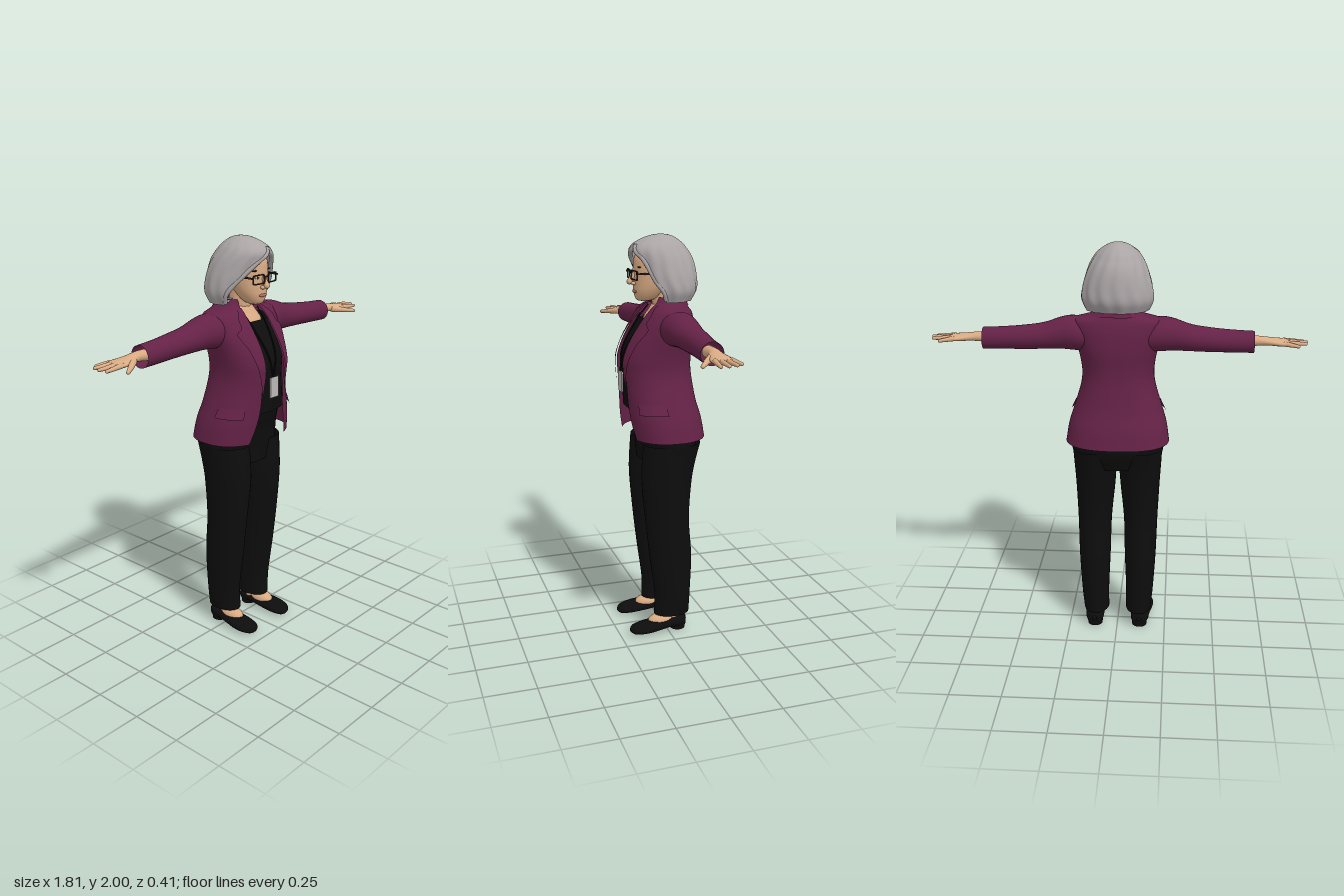
import * as THREE from 'three';
import { mergeVertices } from 'three/addons/utils/BufferGeometryUtils.js';

const V = (x, y, z) => new THREE.Vector3(x, y, z);
const paint = (name, color) => {
  const m = new THREE.MeshStandardMaterial({ color, side: THREE.DoubleSide });
  m.name = name;
  return m;
};

// Smooth interpolation of table rows keyed by their first column
function sample(rows, t) {
  const n = rows.length;
  let i = 0;
  while (i < n - 2 && t > rows[i + 1][0]) i++;
  const a = rows[i], b = rows[i + 1], p = rows[Math.max(i - 1, 0)], q = rows[Math.min(i + 2, n - 1)];
  const h = b[0] - a[0], s = Math.min(1, Math.max(0, (t - a[0]) / h));
  return a.map((_, k) => {
    const m0 = h * (b[k] - p[k]) / (b[0] - p[0]), m1 = h * (q[k] - a[k]) / (q[0] - a[0]);
    return (2 * s ** 3 - 3 * s * s + 1) * a[k] + (s ** 3 - 2 * s * s + s) * m0
      + (3 * s * s - 2 * s ** 3) * b[k] + (s ** 3 - s * s) * m1;
  });
}

// Smooth surface from f(u, v) => [x, y, z]
function surface(f, nu, nv) {
  const pos = [], idx = [];
  for (let j = 0; j <= nv; j++) for (let i = 0; i <= nu; i++) pos.push(...f(i / nu, j / nv));
  for (let j = 0; j < nv; j++) for (let i = 0; i < nu; i++) {
    const a = j * (nu + 1) + i, b = a + 1, c = a + nu + 1, d = c + 1;
    idx.push(a, b, d, a, d, c);
  }
  let g = new THREE.BufferGeometry();
  g.setAttribute('position', new THREE.Float32BufferAttribute(pos, 3));
  g.setIndex(idx);
  g = mergeVertices(g, 1e-5);
  g.computeVertexNormals();
  return g;
}

// Oval sections [s, centreA, centreB, radiusA, radiusB] along an axis
const AXIS = { y: (s, a, b) => [a, s, b], x: (s, a, b) => [s, b, a], z: (s, a, b) => [b, a, s] };
function loft(rows, axis = 'y', nu = 32, nv = 32) {
  const s0 = rows[0][0], s1 = rows[rows.length - 1][0];
  return surface((u, v) => {
    const [s, ca, cb, ra, rb] = sample(rows, s0 + (s1 - s0) * v), t = u * Math.PI * 2;
    return AXIS[axis](s, ca + ra * Math.sin(t), cb + rb * Math.cos(t));
  }, nu, nv);
}

// Tapered round-ended limb between two points
function limb(p, q, r0, r1) {
  const len = p.distanceTo(q), pts = [];
  for (let i = 0; i <= 5; i++) pts.push(new THREE.Vector2(r0 * Math.sin(i * Math.PI / 10), -r0 * Math.cos(i * Math.PI / 10)));
  for (let i = 0; i <= 5; i++) pts.push(new THREE.Vector2(r1 * Math.cos(i * Math.PI / 10), len - r1 + r1 * Math.sin(i * Math.PI / 10)));
  const g = new THREE.LatheGeometry(pts, 14);
  g.applyQuaternion(new THREE.Quaternion().setFromUnitVectors(V(0, 1, 0), q.clone().sub(p).normalize()));
  return g.translate(p.x, p.y, p.z);
}

const ball = (x, y, z, rx, ry, rz) => new THREE.SphereGeometry(1, 20, 14).scale(rx, ry, rz).translate(x, y, z);
const box = (w, h, d, x, y, z) => new THREE.BoxGeometry(w, h, d).translate(x, y, z);

function mirrored(geo) {
  const g = geo.clone().scale(-1, 1, 1), ix = g.index.array;
  for (let i = 0; i < ix.length; i += 3) [ix[i], ix[i + 1]] = [ix[i + 1], ix[i]];
  g.computeVertexNormals();
  return g;
}

// Point on a rounded shell of rows [y, halfWidth, front, back, opening]
function shellPoint(rows, y, a, off = 0, n = 2) {
  const [, rx, zf, zb] = sample(rows, y), sp = (s) => Math.sign(s) * Math.abs(s) ** (2 / n);
  return [(rx + off) * sp(Math.sin(a)), y, (zf + zb) / 2 + ((zf - zb) / 2 + off) * sp(Math.cos(a))];
}
const angleAt = (rx, x, n) => Math.asin(Math.min(1, Math.max(0, x / rx)) ** (n / 2));

const JACKET = [[1.03, .255, .175, -.205, .13], [1.12, .24, .187, -.19, .1], [1.2, .215, .193, -.167, .082],
  [1.3, .185, .2, -.15, .075], [1.36, .176, .205, -.143, .07], [1.42, .18, .204, -.143, .07],
  [1.5, .195, .172, -.15, .07], [1.58, .213, .12, -.147, .07], [1.62, .215, .09, -.14, .07],
  [1.65, .2, .062, -.13, .066], [1.67, .115, .045, -.12, .062], [1.705, .078, .03, -.108, .055]];
const LAPEL = [[1.26, 0], [1.4, .035], [1.5, .06], [1.57, .085], [1.59, .055], [1.63, .05], [1.67, .02]];
const HAIR = [[1.69, .15, .08, -.15, .138], [1.74, .17, .1, -.175, .15], [1.8, .165, .12, -.175, .125],
  [1.86, .148, .135, -.165, .088], [1.9, .132, .145, -.15, .055], [1.93, .115, .148, -.13, .015],
  [1.955, .095, .13, -.11, 0], [1.98, .062, .085, -.078, 0], [1.995, .03, .038, -.042, 0], [2, .001, 0, -.005, 0]];

export function createModel() {
  const model = new THREE.Group();
  const wine = paint('wine cloth', 0x642246), black = paint('black cloth', 0x0d0d0d), skin = paint('skin', 0xd9ab84);
  const grey = paint('silver hair', 0xaaa4a5), frame = paint('dark frame', 0x2b211d), lip = paint('lips', 0xb4735f);
  const card = paint('pale card', 0xbdb8b8);
  const add = (name, geo, mat, pair = false) => {
    for (const [g, side] of pair ? [[geo, 'left '], [mirrored(geo), 'right ']] : [[geo, '']]) {
      const m = new THREE.Mesh(g, mat);
      m.name = side + name;
      model.add(m);
    }
  };
  const N = 2.4, TAU = Math.PI * 2;

  // Jacket body, open at the front
  const jacketBand = (y0, y1, off, nv) => surface((u, v) => {
    const y = y0 + (y1 - y0) * v, r = sample(JACKET, y), a0 = angleAt(r[1], r[4], N);
    return shellPoint(JACKET, y, a0 + (TAU - 2 * a0) * u, off, N);
  }, 72, nv);
  add('jacket body', jacketBand(1.03, 1.705, 0, 60), wine);
  add('collar', jacketBand(1.667, 1.708, .01, 6), wine);
  add('lapel', surface((u, v) => {
    const y = 1.26 + .41 * v, r = sample(JACKET, y), w = sample(LAPEL, y)[1];
    return shellPoint(JACKET, y, angleAt(r[1], r[4] - .004 + w * u, N), .009, N);
  }, 8, 40), wine, true);
  add('pocket flap', surface((u, v) => shellPoint(JACKET, 1.165 + .05 * v, .75 + .75 * u, .012 - .008 * v, N), 12, 4), wine, true);

  // Sleeves
  add('sleeve', loft([[.13, -.03, 1.56, .085, .07], [.2, -.03, 1.572, .09, .083], [.26, -.032, 1.572, .08, .078],
    [.35, -.036, 1.557, .07, .064], [.45, -.036, 1.548, .062, .058], [.55, -.03, 1.542, .056, .054],
    [.65, -.025, 1.538, .054, .052]], 'x'), wine, true);

  // Shirt, badge and cord
  add('shirt', surface((u, v) => shellPoint(JACKET, 1.17 + .435 * v, TAU * u, -.018, N), 48, 30), black);
  add('badge', box(.058, .1, .008, 0, 1.3, .2), card);
  add('badge clip', box(.016, .02, .01, 0, 1.358, .198), black);
  add('cord', new THREE.TubeGeometry(new THREE.CatmullRomCurve3([V(.004, 1.36, .196), V(.025, 1.45, .186),
    V(.05, 1.58, .11), V(.06, 1.66, .04)]), 24, .004, 6), black, true);

  // Trousers
  add('hips', loft([[.9, 0, -.01, .205, .12], [1, 0, -.028, .228, .146], [1.08, 0, -.02, .222, .15],
    [1.16, 0, .005, .2, .15], [1.24, 0, .02, .16, .14]]), black);
  add('trouser leg', loft([[.09, .11, -.027, .065, .092], [.2, .115, -.03, .07, .093], [.4, .117, -.02, .08, .108],
    [.6, .117, -.002, .086, .112], [.8, .112, 0, .1, .127], [.9, .112, -.01, .106, .134],
    [1, .113, -.027, .11, .143]]), black, true);

  // Feet and shoes
  add('ankle', limb(V(.112, .06, -.03), V(.112, .16, -.03), .038, .038), skin, true);
  add('foot', ball(.118, .055, .025, .043, .036, .075), skin, true);
  add('shoe', loft([[-.102, .048, .117, .012, .01], [-.095, .045, .117, .034, .032], [-.07, .045, .118, .038, .045],
    [-.02, .045, .12, .031, .049], [.04, .037, .124, .028, .054], [.1, .031, .128, .028, .058],
    [.15, .026, .128, .024, .053], [.185, .022, .126, .018, .034], [.2, .02, .125, .002, .003]], 'z', 24, 32), black, true);
  add('shoe heel', new THREE.CylinderGeometry(.042, .038, .04, 20).translate(.117, .02, -.058), black, true);

  // Hands
  add('palm', loft([[.6, -.025, 1.54, .03, .028], [.67, -.024, 1.544, .028, .023], [.72, -.018, 1.541, .038, .019],
    [.77, -.016, 1.537, .05, .017], [.805, -.018, 1.536, .048, .014], [.82, -.02, 1.536, .025, .005]], 'x', 20, 20), skin, true);
  const fingers = [['index finger', .02, .893, .03, 1.531], ['middle finger', -.005, .907, -.002, 1.535],
    ['ring finger', -.031, .9, -.04, 1.535], ['little finger', -.053, .862, -.077, 1.53]];
  for (const [name, z0, x1, z1, y1] of fingers)
    add(name, limb(V(.795, 1.537, z0), V(x1, y1, z1), .0125, .008), skin, true);
  add('thumb', limb(V(.72, 1.537, .008), V(.78, 1.527, .058), .018, .013), skin, true);
  add('thumb tip', limb(V(.772, 1.528, .05), V(.82, 1.521, .085), .0125, .009), skin, true);

  // Neck and head
  add('upper chest', loft([[1.54, 0, -.03, .12, .11], [1.6, 0, -.03, .115, .11], [1.64, 0, -.03, .09, .085],
    [1.68, 0, -.03, .058, .06]]), skin);
  add('neck', limb(V(0, 1.6, -.03), V(0, 1.8, 0), .06, .054), skin);
  add('head', loft([[1.683, 0, .08, .002, .002], [1.687, 0, .078, .025, .028], [1.7, 0, .068, .045, .052],
    [1.73, 0, .056, .066, .073], [1.76, 0, .045, .079, .085], [1.8, 0, .034, .088, .096], [1.85, 0, .03, .092, .1],
    [1.9, 0, .02, .09, .1], [1.95, 0, 0, .06, .075]], 'y', 36, 40), skin);
  add('nose', limb(V(0, 1.825, .122), V(0, 1.768, .158), .009, .014), skin);
  add('nostril', ball(.013, 1.772, .135, .01, .009, .012), skin, true);
  add('mouth', ball(0, 1.733, .126, .027, .008, .008), lip);
  add('eye', ball(.037, 1.818, .12, .014, .006, .007), card, true);
  add('pupil', ball(.037, 1.818, .125, .006, .006, .004), frame, true);
  add('eyebrow', ball(.042, 1.85, .116, .024, .004, .006).rotateZ(0), frame, true);

  // Glasses
  const oval = (T, w, h) => {
    const s = new T(), r = .012;
    s.moveTo(-w + r, -h).lineTo(w - r, -h).quadraticCurveTo(w, -h, w, -h + r).lineTo(w, h - r)
      .quadraticCurveTo(w, h, w - r, h).lineTo(-w + r, h).quadraticCurveTo(-w, h, -w, h - r)
      .lineTo(-w, -h + r).quadraticCurveTo(-w, -h, -w + r, -h);
    return s;
  };
  const rim = oval(THREE.Shape, .037, .023);
  rim.holes.push(oval(THREE.Path, .032, .018));
  const rimGeo = mergeVertices(new THREE.ExtrudeGeometry(rim, { depth: .006, bevelEnabled: false }));
  add('glasses rim', rimGeo.rotateY(.15).translate(.047, 1.813, .138), frame, true);
  add('glasses bridge', box(.024, .006, .006, 0, 1.822, .146), frame);
  add('glasses arm', box(.005, .008, .13, .089, 1.822, .075), frame, true);

  // Bobbed hair with a side parting
  const hairEdge = (y, side) => {
    const r = sample(HAIR, y), shift = .025 * Math.min(1, Math.max(0, (y - 1.8) / .12)) * Math.min(1, (2 - y) / .05);
    const x = r[4] * side + shift;
    return Math.sign(x) * angleAt(r[1], Math.abs(x), 2);
  };
  const hairPoint = (u, y) => {
    const a0 = hairEdge(y, 1), a1 = TAU + hairEdge(y, -1), a = a0 + (a1 - a0) * u;
    const wave = .0025 * Math.sin(a * 14 + Math.sin(y * 25)) * Math.min(1, (2 - y) / .1);
    return shellPoint(HAIR, y, a, wave);
  };
  add('hair', surface((u, v) => hairPoint(u, 1.69 + .31 * Math.sin(v * Math.PI / 2)), 96, 44), grey);
  add('hair underside', surface((u, v) => {
    const [x, y, z] = hairPoint(u, 1.69), k = .45 + .55 * v;
    return [x * k, y + .02 * (1 - v), (z + .02) * k - .02];
  }, 96, 4), grey);
  for (const side of [1, -1]) {
    const pts = [1.7, 1.74, 1.79, 1.83, 1.87, 1.9, 1.925, 1.95].map((y) =>
      V(...shellPoint(HAIR, y, hairEdge(y, side), -.005)));
    add(side > 0 ? 'left front lock' : 'right front lock',
      new THREE.TubeGeometry(new THREE.CatmullRomCurve3(pts), 40, .011, 10), grey);
  }
  return model;
}
